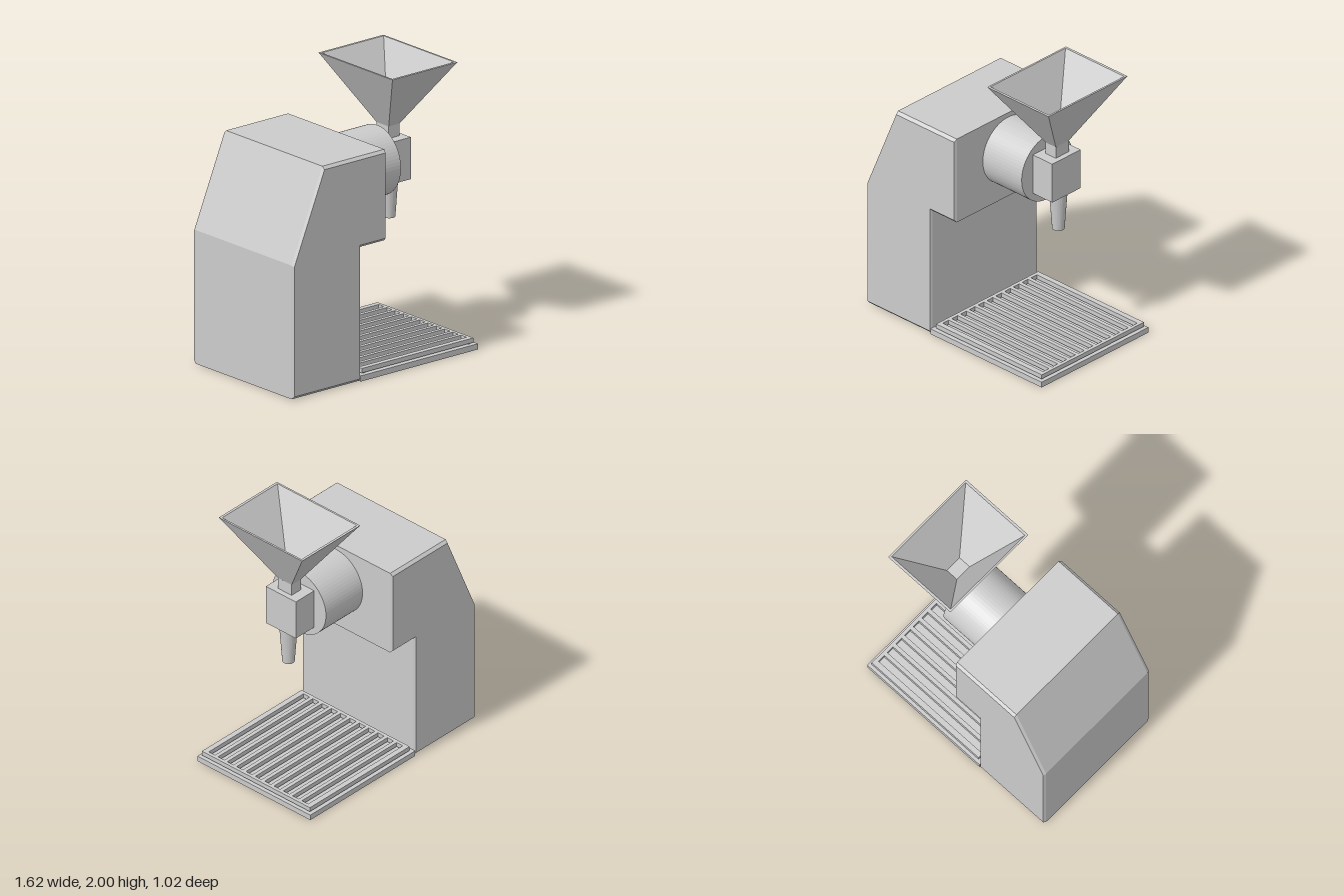
import * as THREE from 'three';

const material = new THREE.MeshStandardMaterial({ color: 0xcccccc, flatShading: true });

// Faceted mesh with one normal per face
function part(name, geometry, x = 0, y = 0, z = 0) {
  const flat = geometry.index ? geometry.toNonIndexed() : geometry;
  flat.computeVertexNormals();
  const mesh = new THREE.Mesh(flat, material);
  mesh.name = name;
  mesh.position.set(x, y, z);
  return mesh;
}

// Box given by its limits on x and y, centred on z
function box(name, x0, x1, y0, y1, depth, z = 0) {
  return part(name, new THREE.BoxGeometry(x1 - x0, y1 - y0, depth), (x0 + x1) / 2, (y0 + y1) / 2, z);
}

function rectangle(PathType, x0, x1, y0, y1) {
  return new PathType([[x0, y0], [x1, y0], [x1, y1], [x0, y1]].map(([x, y]) => new THREE.Vector2(x, y)));
}

// Housing: side profile with chamfered side edges, drawn wide so the chamfer ends up narrow in x
function createHousing() {
  const stretch = 3, chamfer = 0.02, halfDepth = 0.512;
  const profile = [[-0.81, 0], [-0.22, 0], [-0.22, 0.94], [0.005, 0.94], [0.005, 1.58], [-0.54, 1.58], [-0.81, 0.94]];
  const shape = new THREE.Shape(profile.map(([x, y]) => new THREE.Vector2(x * stretch, y)));
  const geometry = new THREE.ExtrudeGeometry(shape, {
    depth: 2 * (halfDepth - chamfer), bevelEnabled: true, bevelSegments: 1,
    bevelThickness: chamfer, bevelSize: chamfer, bevelOffset: -chamfer,
  });
  geometry.translate(0, 0, chamfer - halfDepth);
  geometry.scale(1 / stretch, 1, 1);
  return part('housing', geometry);
}

// Drip tray with a slotted grate on small feet
function createTray() {
  const tray = new THREE.Group();
  tray.name = 'dripTray';
  tray.add(box('trayBase', -0.22, 0.81, 0, 0.04, 1.024));

  const plate = rectangle(THREE.Shape, -0.19, 0.79, -0.49, 0.49);
  const pitch = 0.0845, halfSlot = 0.028;
  for (let i = -5; i <= 5; i++) {
    plate.holes.push(rectangle(THREE.Path, -0.165, 0.765, i * pitch - halfSlot, i * pitch + halfSlot));
  }
  const grate = new THREE.ExtrudeGeometry(plate, { depth: 0.032, bevelEnabled: false });
  grate.rotateX(-Math.PI / 2);
  tray.add(part('grate', grate, 0, 0.048, 0));

  for (const x of [-0.17, 0.75]) {
    for (const z of [-0.47, 0.47]) tray.add(box('grateFoot', x, x + 0.02, 0.04, 0.048, 0.02, z));
  }
  return tray;
}

// Hopper: four-sided funnel with a wall, a rim and a closed floor
function createHopper() {
  const profile = [[0.062, 1.54], [0.378, 2], [0.36, 2], [0.062, 1.56], [0, 1.56]];
  const points = profile.map(([halfWidth, y]) => new THREE.Vector2(halfWidth * Math.SQRT2, y));
  const funnel = new THREE.LatheGeometry(points, 4);
  funnel.rotateY(Math.PI / 4);
  funnel.scale(0.754, 1, 1);
  return part('hopper', funnel, 0.46, 0, 0);
}

export function createModel() {
  const model = new THREE.Group();
  model.name = 'grinder';
  model.add(createHousing(), createTray());

  // Round drive head reaching out of the housing
  const drum = new THREE.CylinderGeometry(0.243, 0.243, 0.365, 64);
  drum.rotateZ(Math.PI / 2);
  model.add(part('driveHead', drum, 0.1825, 1.303, 0));

  // Grinding block with feed neck above and spout below
  model.add(box('grindingBlock', 0.365, 0.545, 1.16, 1.455, 0.272));
  model.add(box('feedNeck', 0.413, 0.507, 1.455, 1.54, 0.124));
  model.add(part('spout', new THREE.CylinderGeometry(0.062, 0.042, 0.28, 32), 0.47, 1.02, 0));
  model.add(createHopper());
  return model;
}
